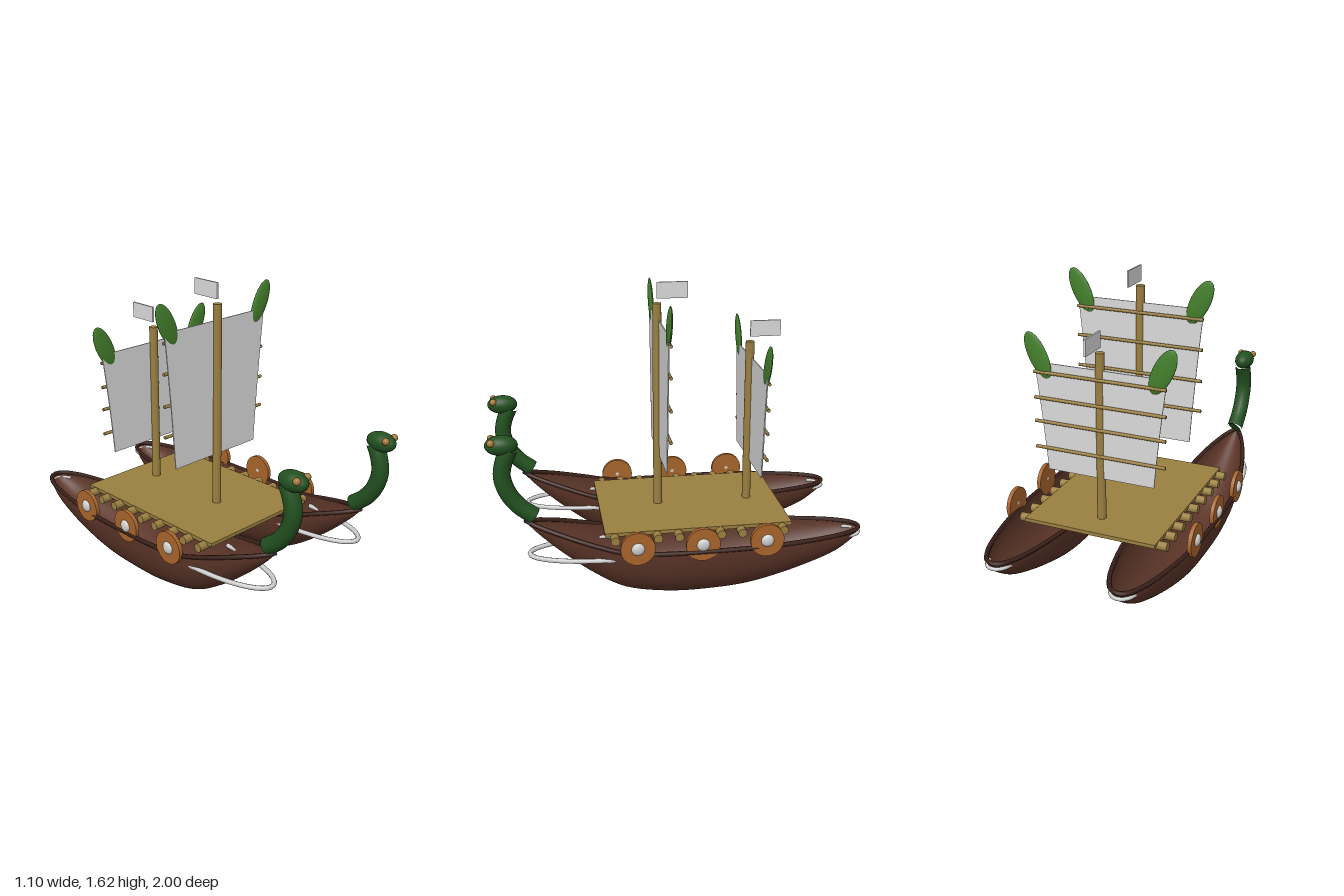
import * as THREE from 'three';
import { ParametricGeometry } from 'three/addons/geometries/ParametricGeometry.js';

const mat = (name, color, side = THREE.FrontSide) => {
  const m = new THREE.MeshStandardMaterial({ color, side });
  m.name = name;
  return m;
};

export function createModel() {
  const hullBrown = mat('hull brown', 0x5c3528, THREE.DoubleSide);
  const railBrown = mat('dark rail brown', 0x3a2019);
  const wood = mat('bamboo', 0x9a7f40);
  const canvas = mat('sail white', 0xdadada, THREE.DoubleSide);
  const metal = mat('silver', 0xcfcfcf);
  const neckGreen = mat('dark green', 0x22501f);
  const leafGreen = mat('leaf green', 0x44802c);
  const copper = mat('copper', 0xa8652c);
  const eyeTan = mat('eye tan', 0xa87838);

  const model = new THREE.Group();
  model.name = 'twinHullShip';
  const add = (parent, name, geo, material, x = 0, y = 0, z = 0) => {
    const m = new THREE.Mesh(geo, material);
    m.name = name;
    m.position.set(x, y, z);
    parent.add(m);
    return m;
  };
  const group = (parent, name) => {
    const g = new THREE.Group();
    g.name = name;
    parent.add(g);
    return g;
  };
  const V = (x, y, z) => new THREE.Vector3(x, y, z);

  // Hull stations: z, half width, keel height, rim height
  const stations = [
    [0.81, 0.004, 0.45, 0.46], [0.74, 0.05, 0.375, 0.438], [0.62, 0.1, 0.265, 0.403],
    [0.46, 0.145, 0.14, 0.355], [0.3, 0.17, 0.05, 0.315], [0.1, 0.185, 0.01, 0.304],
    [-0.1, 0.188, 0.002, 0.304], [-0.35, 0.184, 0.02, 0.304], [-0.6, 0.158, 0.08, 0.304],
    [-0.82, 0.112, 0.155, 0.304], [-0.93, 0.07, 0.22, 0.304], [-0.975, 0.036, 0.262, 0.304],
    [-0.99, 0.004, 0.292, 0.304],
  ];
  const spline = (pts) => new THREE.CatmullRomCurve3(pts, false, 'catmullrom', 0.5);
  const rim = spline(stations.map(([z, w, , r]) => V(w, r, z)));
  const keel = spline(stations.map(([z, , k]) => V(0, k, z)));

  // Half-elliptical section swept from bow to stern
  const shell = (widthScale, depthScale, inward) => new ParametricGeometry((u, v, out) => {
    const a = Math.PI * (inward ? 1 - u : u);
    const r = rim.getPoint(v);
    const depth = (r.y - keel.getPoint(v).y) * depthScale;
    out.set(Math.cos(a) * r.x * widthScale, r.y - Math.sin(a) * depth, r.z);
  }, 32, 72);
  const outerShell = shell(1, 1, false);
  const innerShell = shell(0.93, 0.82, true);

  const rimLoop = [];
  for (let i = 0; i <= 60; i++) rimLoop.push(rim.getPoint(i / 60));
  for (let i = 59; i > 0; i--) {
    const p = rim.getPoint(i / 60);
    rimLoop.push(V(-p.x, p.y, p.z));
  }
  const railGeo = new THREE.TubeGeometry(new THREE.CatmullRomCurve3(rimLoop, true), 160, 0.012, 8, true);

  // Horizontal half-ellipse of silver tube
  const bowGuard = (halfWidth, reach, radius) => {
    const pts = [];
    for (let i = 0; i <= 20; i++) {
      const a = Math.PI * i / 20;
      pts.push(V(Math.cos(a) * halfWidth, 0, Math.sin(a) * reach));
    }
    return new THREE.TubeGeometry(new THREE.CatmullRomCurve3(pts), 48, radius, 8);
  };
  const bowLoopGeo = bowGuard(0.145, 0.447, 0.013);
  const sternLoopGeo = bowGuard(0.062, -0.075, 0.01);

  // Serpent neck path
  const neckPath = new THREE.CatmullRomCurve3([
    V(0, 0.485, 0.765), V(0, 0.54, 0.835), V(0, 0.615, 0.89), V(0, 0.71, 0.918),
    V(0, 0.79, 0.905), V(0, 0.86, 0.875),
  ]);
  const neckGeo = new THREE.TubeGeometry(neckPath, 32, 0.045, 18);
  const ball = new THREE.SphereGeometry(1, 24, 16);

  for (const side of [-1, 1]) {
    const hull = group(model, side > 0 ? 'leftHull' : 'rightHull');
    hull.position.x = side * 0.34;
    add(hull, 'hullOutside', outerShell, hullBrown);
    add(hull, 'hullInside', innerShell, hullBrown);
    add(hull, 'gunwale', railGeo, railBrown);
    add(hull, 'bowLoop', bowLoopGeo, metal, 0, 0.27, 0.35);
    add(hull, 'sternLoop', sternLoopGeo, metal, 0, 0.275, -0.915);

    // Serpent figurehead
    const serpent = group(hull, 'serpentFigurehead');
    add(serpent, 'neck', neckGeo, neckGreen);
    const cap = add(serpent, 'neckBase', new THREE.CircleGeometry(0.045, 18), neckGreen);
    cap.position.copy(neckPath.getPoint(0));
    cap.lookAt(cap.position.clone().sub(neckPath.getTangent(0)));
    add(serpent, 'head', ball, neckGreen, 0, 0.88, 0.913).scale.set(0.054, 0.052, 0.084);
    for (const s of [-1, 1]) add(serpent, 'eye', ball, eyeTan, s * 0.037, 0.905, 0.963).scale.setScalar(0.019);

    // Shields along the outer side
    for (const z of [0.25, -0.09, -0.43]) {
      const shield = group(model, 'shield');
      shield.position.set(side * 0.522, 0.345, z);
      const disc = add(shield, 'shieldDisc', new THREE.CylinderGeometry(0.09, 0.09, 0.022, 32), copper);
      disc.rotation.z = Math.PI / 2;
      add(shield, 'shieldBoss', ball, metal, side * 0.008, 0, 0).scale.set(0.02, 0.035, 0.035);
    }
  }

  // Deck on cross logs
  add(model, 'deck', new THREE.BoxGeometry(0.74, 0.02, 1.01), wood, 0, 0.357, -0.1);
  const logGeo = new THREE.CylinderGeometry(0.024, 0.024, 0.84, 14);
  for (let i = 0; i < 9; i++) {
    add(model, 'crossLog', logGeo, wood, 0, 0.341, -0.55 + i * 0.113).rotation.z = Math.PI / 2;
  }

  // Mast with sail, yards, leaf ornaments and pennant
  const rig = (name, z, mastTop, sailTop, sailBottom, yards, leafY, flagY) => {
    const g = group(model, name);
    g.position.z = z;
    const h = mastTop - 0.36;
    add(g, 'mast', new THREE.CylinderGeometry(0.024, 0.024, h, 20), wood, 0, 0.36 + h / 2, 0);
    const s = new THREE.Shape();
    s.moveTo(-0.3, sailBottom);
    s.lineTo(0.3, sailBottom);
    s.quadraticCurveTo(0.325, (sailTop + sailBottom) / 2, 0.365, sailTop);
    s.lineTo(-0.365, sailTop);
    s.quadraticCurveTo(-0.325, (sailTop + sailBottom) / 2, -0.3, sailBottom);
    const sailGeo = new THREE.ExtrudeGeometry(s, { depth: 0.006, bevelEnabled: false });
    add(g, 'sail', sailGeo, canvas, 0, 0, -0.013);
    for (const y of yards) {
      const yard = add(g, 'yard', new THREE.CylinderGeometry(0.009, 0.009, 0.73, 10), wood, 0, y, -0.02);
      yard.rotation.z = Math.PI / 2;
    }
    for (const side of [-1, 1]) {
      const leaf = add(g, 'leaf', ball, leafGreen, side * 0.343, leafY, -0.014);
      leaf.scale.set(0.055, 0.13, 0.014);
      leaf.rotation.z = -side * 0.45;
    }
    add(g, 'pennant', new THREE.BoxGeometry(0.01, 0.087, 0.167), canvas, 0, flagY, -0.083);
  };
  rig('foreRig', 0.073, 1.505, 1.415, 0.655, [1.36, 1.195, 1.02, 0.85], 1.45, 1.573);
  rig('aftRig', -0.437, 1.28, 1.19, 0.6, [1.14, 1.0, 0.87, 0.725], 1.228, 1.35);

  return model;
}
